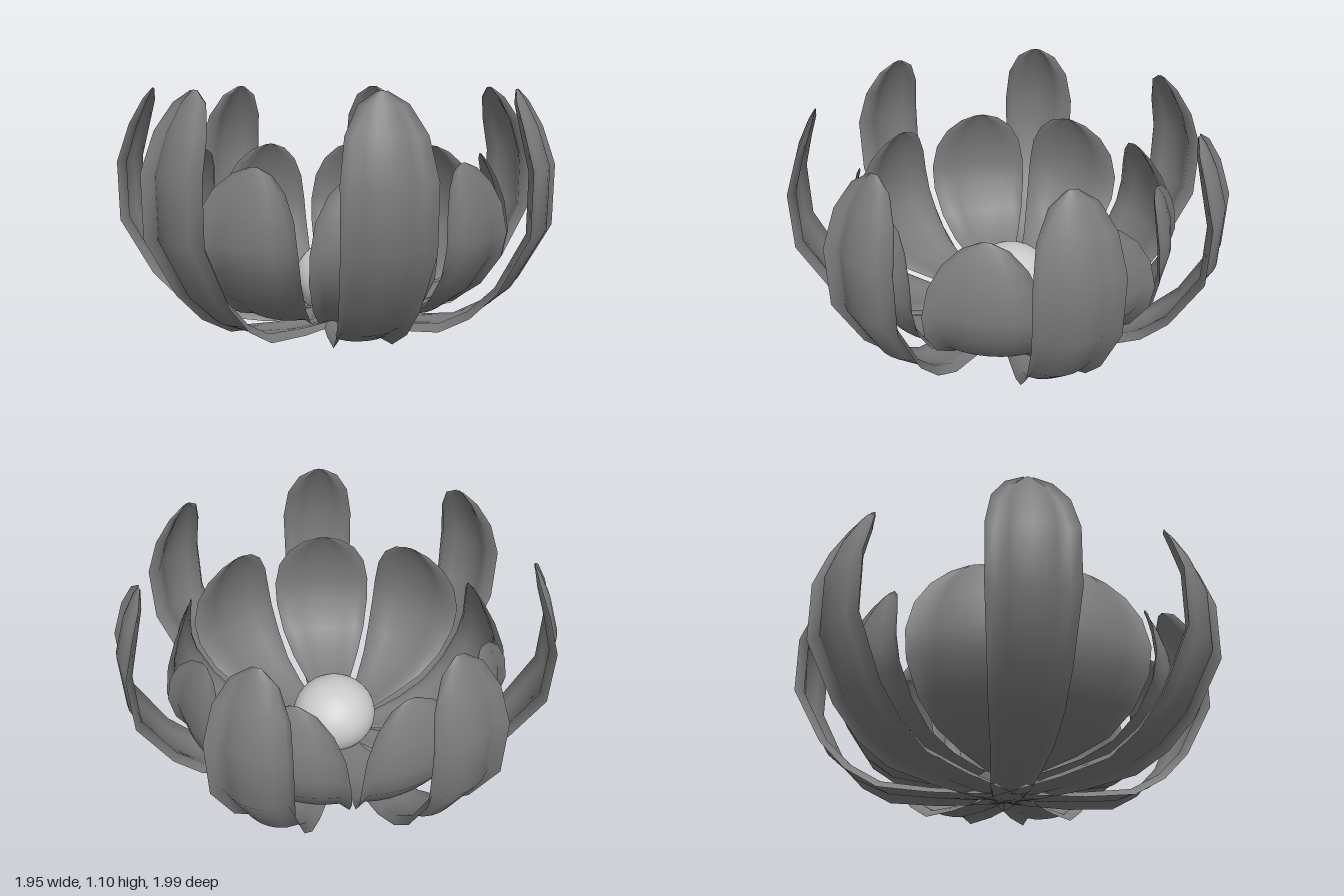
import * as THREE from 'three';

// Cross-section of a petal: [position across, inward offset].
// The middle is cupped, and the rim flares out again at each side.
const half = [[0, 0], [0.25, 0.07], [0.5, 0.32], [0.78, 0.85], [1, 0.25]];
const section = [...half.slice(1).reverse().map(([u, d]) => [-u, d]), ...half];

// Rows run from base to tip: [radius, height, half width, height of a ridge along the middle].
const outerRows = [
  [-0.03, 0.008, 0.06, 0], [0.12, 0.005, 0.085, 0.01], [0.33, 0.012, 0.105, 0.025],
  [0.57, 0.04, 0.125, 0.03], [0.72, 0.125, 0.145, 0.015], [0.845, 0.255, 0.16, 0],
  [0.985, 0.51, 0.182, 0], [0.99, 0.78, 0.184, 0], [0.935, 0.95, 0.157, 0],
  [0.88, 1.06, 0.097, 0], [0.85, 1.105, 0.02, 0],
];
const innerRows = [
  [0.05, 0.09, 0.03, 0], [0.2, 0.085, 0.065, 0], [0.38, 0.1, 0.12, 0], [0.54, 0.14, 0.178, 0],
  [0.66, 0.23, 0.224, 0], [0.745, 0.36, 0.252, 0], [0.77, 0.48, 0.254, 0], [0.755, 0.61, 0.228, 0],
  [0.725, 0.71, 0.172, 0], [0.695, 0.775, 0.096, 0], [0.68, 0.8, 0.02, 0],
];

function petalGeometry(rows, depth) {
  const widest = Math.max(...rows.map((row) => row[2]));
  const positions = [];
  const index = [];
  const cols = section.length;
  rows.forEach(([r, y, w, ridge], i) => {
    // Inward direction, square to the petal's profile
    const a = rows[Math.max(i - 1, 0)];
    const b = rows[Math.min(i + 1, rows.length - 1)];
    const inward = new THREE.Vector2(a[1] - b[1], b[0] - a[0]).normalize();
    section.forEach(([u, d], j) => {
      const push = d * depth * (w / widest) + ridge * (1 - u * u);
      positions.push(r + inward.x * push, y + inward.y * push, u * w);
      if (i < rows.length - 1 && j < cols - 1) {
        const k = i * cols + j;
        index.push(k, k + 1, k + cols, k + 1, k + cols + 1, k + cols);
      }
    });
  });
  const geometry = new THREE.BufferGeometry();
  geometry.setAttribute('position', new THREE.Float32BufferAttribute(positions, 3));
  geometry.setIndex(index);
  geometry.computeVertexNormals();
  return geometry;
}

function petalRing(name, geometry, material, count, startDegrees) {
  const ring = new THREE.Group();
  ring.name = name + 's';
  for (let i = 0; i < count; i++) {
    const petal = new THREE.Mesh(geometry, material);
    petal.name = name;
    petal.rotation.y = THREE.MathUtils.degToRad(startDegrees + (360 / count) * i);
    ring.add(petal);
  }
  ring.position.x = -0.012;
  return ring;
}

export function createModel() {
  const flower = new THREE.Group();
  flower.name = 'flower';
  const petalMaterial = new THREE.MeshStandardMaterial({ color: 0x7d7d7d, side: THREE.DoubleSide });

  // Seven tall outer petals and nine shorter, wider inner ones
  flower.add(petalRing('outerPetal', petalGeometry(outerRows, 0.055), petalMaterial, 7, 0));
  flower.add(petalRing('innerPetal', petalGeometry(innerRows, 0.035), petalMaterial, 9, 17));

  // Round heart of the flower
  const heart = new THREE.Mesh(
    new THREE.SphereGeometry(0.202, 32, 20),
    new THREE.MeshStandardMaterial({ color: 0xcccccc }),
  );
  heart.name = 'heart';
  heart.scale.y = 0.9;
  heart.position.set(0, 0.203, -0.01);
  flower.add(heart);
  return flower;
}
